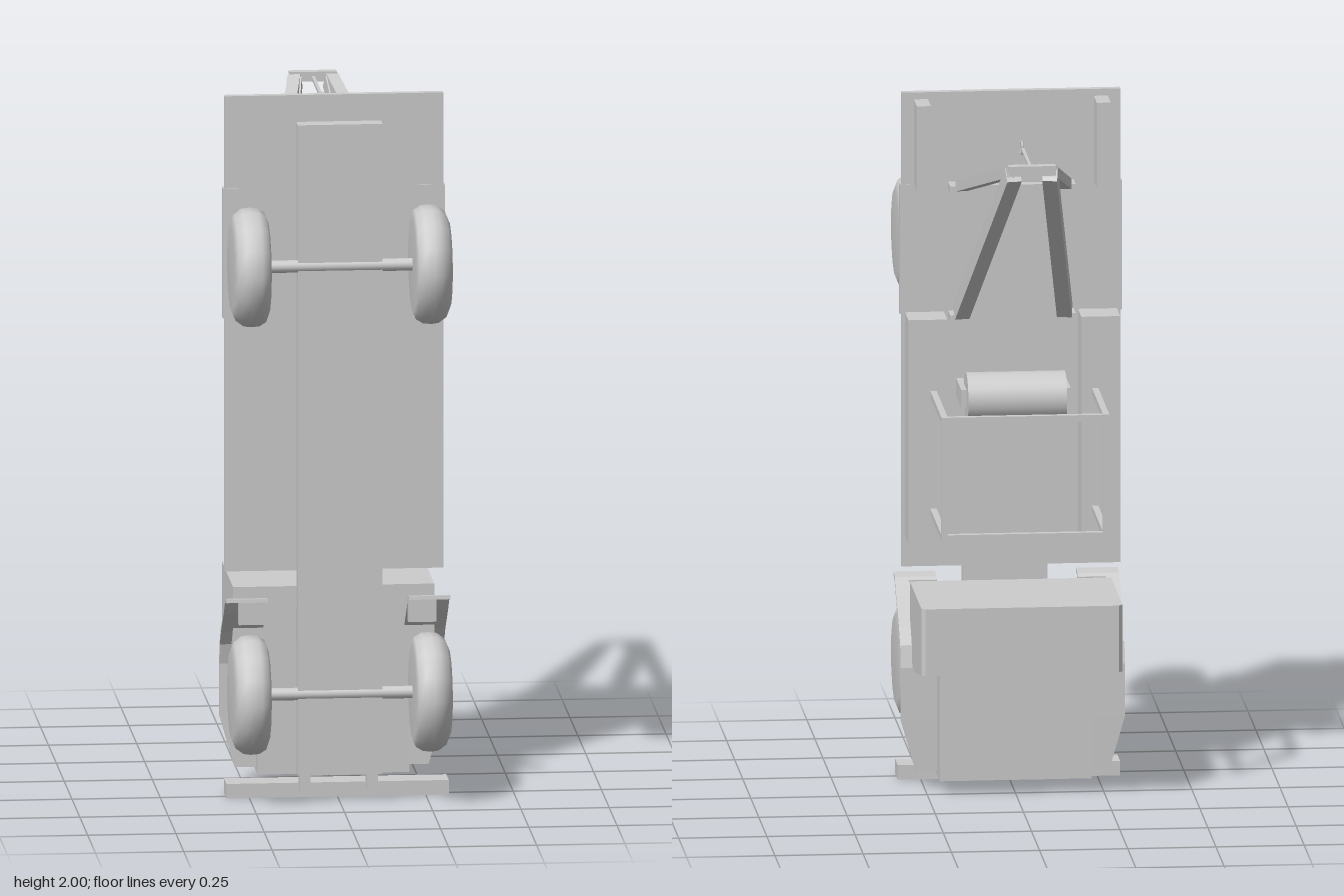
import * as THREE from 'three';

// Tow truck standing on its nose: bonnet down, tail up, wheels towards +z.
export function createModel() {
  const root = new THREE.Group();
  const grey = new THREE.MeshStandardMaterial({ color: 0xcccccc });
  grey.name = 'light grey';

  const add = (name, geometry) => {
    const mesh = new THREE.Mesh(geometry, grey);
    mesh.name = name;
    root.add(mesh);
    return mesh;
  };
  // box given by its limits on each axis
  const box = (name, x0, x1, y0, y1, z0, z1) =>
    add(name, new THREE.BoxGeometry(x1 - x0, y1 - y0, z1 - z0))
      .position.set((x0 + x1) / 2, (y0 + y1) / 2, (z0 + z1) / 2);
  // the same box on both sides
  const pair = (name, x0, x1, ...rest) => {
    box(name + 'Left', x0, x1, ...rest);
    box(name + 'Right', -x1, -x0, ...rest);
  };
  // square bar between two points
  const beam = (name, a, b, w, h = w) => {
    const p = new THREE.Vector3(...a), q = new THREE.Vector3(...b);
    const mesh = add(name, new THREE.BoxGeometry(w, h, p.distanceTo(q)));
    mesh.position.copy(p).lerp(q, 0.5);
    mesh.lookAt(q);
  };
  // cylinder along x
  const rod = (name, radius, length, y, z, sides) => {
    const g = new THREE.CylinderGeometry(radius, radius, length, sides).rotateZ(Math.PI / 2);
    add(name, g).position.set(0, y, z);
  };

  // chassis and flat bed
  box('chassis', -0.12, 0.12, 0.08, 1.955, 0.317, 0.365);
  box('bed', -0.31, 0.31, 0.63, 2, 0.14, 0.162);
  pair('wheelPlate', 0.23, 0.315, 1.36, 1.735, 0.139, 0.165);
  pair('cabMount', 0.08, 0.107, 0.425, 0.525, 0.15, 0.32);

  // axles and wheels
  const tyre = [[0, -0.052], [0.135, -0.052], [0.155, -0.045], [0.167, -0.025],
    [0.169, 0], [0.166, 0.02], [0.15, 0.042], [0.125, 0.052], [0, 0.052]]
    .map(([r, h]) => new THREE.Vector2(r, h));
  for (const [end, y] of [['front', 0.313], ['rear', 1.546]]) {
    rod(end + 'Axle', 0.018, 0.44, y, 0.352, 12);
    for (const s of [1, -1]) {
      const wheel = add(end + 'Wheel', new THREE.LatheGeometry(tyre, 14).rotateZ(-s * Math.PI / 2));
      wheel.position.set(s * 0.257, y, 0.355);
    }
  }

  // cab with sloping windscreen side, extruded across x
  const cabSide = new THREE.Shape([[-0.155, 0.355], [0.005, 0.355], [0.2, 0.39], [0.2, 0.583], [-0.155, 0.583]]
    .map(([a, b]) => new THREE.Vector2(a, b)));
  const cab = new THREE.ExtrudeGeometry(cabSide, { depth: 0.57, bevelEnabled: false });
  add('cab', cab.translate(0, 0, -0.285).rotateY(Math.PI / 2));
  // roof panel with tapered sides
  const roof = new THREE.BoxGeometry(0.57, 0.193, 0.012);
  const rp = roof.attributes.position;
  for (let i = 0; i < rp.count; i++) if (rp.getZ(i) < 0) rp.setX(i, rp.getX(i) * 0.96);
  roof.computeVertexNormals();
  add('roof', roof).position.set(0, 0.4865, -0.206);
  box('bonnet', -0.215, 0.215, 0.04, 0.356, -0.01, 0.15);

  // front fenders: a thin strip bent along a path, narrowing at the nose
  const path = [[0.05, 0.085], [0.2, 0.083], [0.35, 0.083], [0.41, 0.098],
    [0.455, 0.135], [0.525, 0.222], [0.568, 0.265], [0.574, 0.308]];
  for (const s of [1, -1]) {
    let g = new THREE.BoxGeometry(1, 1, 1, 1, path.length - 1, 1);
    const p = g.attributes.position;
    for (let i = 0; i < p.count; i++) {
      const k = Math.round((p.getY(i) + 0.5) * (path.length - 1));
      const [y, z] = path[k];
      const [y0, z0] = path[Math.max(k - 1, 0)], [y1, z1] = path[Math.min(k + 1, path.length - 1)];
      const len = Math.hypot(y1 - y0, z1 - z0), t = p.getZ(i) * 0.01;
      const outer = k === 0 ? 0.275 : 0.318;
      const outside = p.getX(i) * s > 0;
      p.setXYZ(i, s * (outside ? outer : 0.2), y - t * (z1 - z0) / len, z + t * (y1 - y0) / len);
    }
    g = g.toNonIndexed();
    g.computeVertexNormals();
    add('fender', g);
  }
  pair('headlight', 0.2, 0.28, 0.5, 0.565, 0.25, 0.285);

  // bumper
  box('bumper', -0.315, 0.315, 0, 0.042, 0.2, 0.28);
  pair('bumperBracket', 0.08, 0.11, 0.024, 0.107, 0.27, 0.322);

  // tool boxes and tail posts on the bed
  pair('toolBox', 0.19, 0.3, 0.72, 1.365, 0.035, 0.141);
  pair('tailPost', 0.235, 0.275, 1.735, 1.98, 0.048, 0.141);

  // crane feet, legs and tip
  pair('craneFoot', 0.128, 0.178, 1.715, 1.74, 0.078, 0.141);
  box('craneCrossbar', -0.13, 0.13, 1.715, 1.74, 0.085, 0.115);
  pair('craneLowerFoot', 0.128, 0.178, 1.345, 1.368, 0.075, 0.141);
  for (const s of [1, -1]) {
    beam('upperLeg', [s * 0.147, 1.745, 0.06], [s * 0.052, 1.91, -0.51], 0.035, 0.03);
    beam('lowerLeg', [s * 0.147, 1.375, 0.08], [s * 0.052, 1.9, -0.505], 0.042, 0.045);
  }
  box('craneTip', -0.067, 0.067, 1.9, 1.928, -0.525, -0.498);

  // cable and hook ring
  beam('cable', [0, 1.911, -0.225], [0, 1.911, -0.51], 0.009);
  const ring = new THREE.TorusGeometry(0.017, 0.004, 6, 16).rotateY(Math.PI / 2);
  add('hookRing', ring).position.set(0, 1.911, -0.205);

  // winch
  rod('winchDrum', 0.072, 0.28, 1.147, -0.005, 24);
  pair('winchBracket', 0.135, 0.155, 1.12, 1.172, -0.02, 0.141);

  // tube rack behind the cab
  const rack = 0.018;
  for (const y of [0.81, 1.15]) {
    for (const s of [1, -1]) beam('rackArm', [s * 0.229, y, 0.05], [s * 0.229, y, -0.314], rack);
    box('rackCrossTube', -0.238, 0.238, y - 0.009, y + 0.009, -0.315, -0.297);
  }
  pair('rackUpright', 0.22, 0.238, 0.801, 1.159, -0.315, -0.297);

  return root;
}
